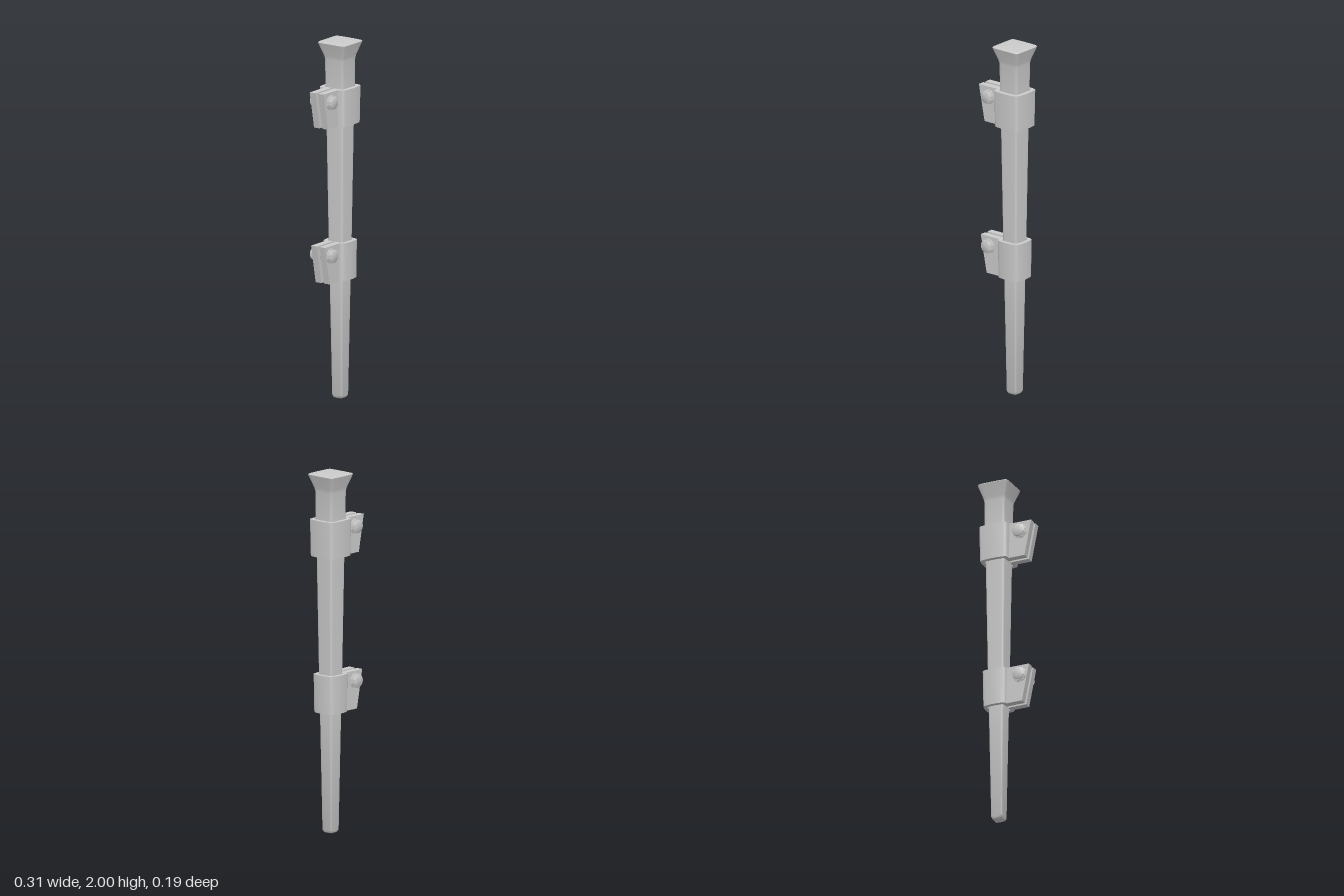
import * as THREE from 'three';
import { toCreasedNormals } from 'three/addons/utils/BufferGeometryUtils.js';

const CX = 0.061;
const material = new THREE.MeshStandardMaterial({ color: 0xcccccc });

// Rounded square outline with gently bulging sides, starting in the middle of the -x side
function outline(half, radius, bulge) {
  const points = [];
  const c = half - bulge - radius;
  for (let k = 0; k < 4; k++) {
    const turn = -Math.PI + k * Math.PI / 2;
    const local = [];
    for (let i = 0; i < 4; i++) { // bulging half side
      const t = i / 4;
      local.push([c + radius + bulge * (1 - t * t), c * t]);
    }
    for (let i = 0; i <= 4; i++) { // corner
      const a = i / 4 * Math.PI / 2;
      local.push([c + radius * Math.cos(a), c + radius * Math.sin(a)]);
    }
    for (let i = 3; i >= 1; i--) { // half of the next side
      const t = i / 4;
      local.push([c * t, c + radius + bulge * (1 - t * t)]);
    }
    for (const [x, y] of local) {
      points.push(new THREE.Vector2(
        x * Math.cos(turn) - y * Math.sin(turn),
        x * Math.sin(turn) + y * Math.cos(turn)));
    }
  }
  return points;
}

function add(parent, name, geometry, crease = 0.6) {
  const mesh = new THREE.Mesh(toCreasedNormals(geometry, crease), material);
  mesh.name = name;
  parent.add(mesh);
  return mesh;
}

// Skin between square sections given as [height, half width, corner radius]
function loftGeometry(sections) {
  const positions = [], index = [];
  let n = 0;
  for (const [y, half, radius] of sections) {
    const ring = outline(half, radius, half * 0.02);
    n = ring.length;
    for (const p of ring) positions.push(p.x, y, -p.y);
  }
  for (let s = 0; s < sections.length - 1; s++) {
    for (let i = 0; i < n; i++) {
      const a = s * n + i, b = s * n + (i + 1) % n;
      index.push(a, b, b + n, a, b + n, a + n);
    }
  }
  const bottom = positions.length / 3, top = bottom + 1, last = (sections.length - 1) * n;
  positions.push(0, sections[0][0], 0, 0, sections[sections.length - 1][0], 0);
  for (let i = 0; i < n; i++) {
    const j = (i + 1) % n;
    index.push(bottom, j, i, top, last + i, last + j);
  }
  const geometry = new THREE.BufferGeometry();
  geometry.setAttribute('position', new THREE.Float32BufferAttribute(positions, 3));
  geometry.setIndex(index);
  return geometry;
}

// Split collar: a thick band open towards -x
function bandGeometry(half, inner, height, taper) {
  const gap = 0.009;
  const outer = outline(half, 0.016, 0.006);
  const hole = outline(inner, 0.009, 0.002);
  outer[0] = new THREE.Vector2(-half, -gap);
  hole[0] = new THREE.Vector2(-inner, -gap);
  const shape = new THREE.Shape([
    ...outer, new THREE.Vector2(-half, gap),
    new THREE.Vector2(-inner, gap), ...hole.reverse()]);
  const geometry = new THREE.ExtrudeGeometry(shape, { depth: height, bevelEnabled: false });
  geometry.rotateX(-Math.PI / 2);
  const p = geometry.attributes.position;
  for (let i = 0; i < p.count; i++) {
    const s = 1 - taper * (1 - p.getY(i) / height);
    p.setX(i, p.getX(i) * s);
    p.setZ(i, p.getZ(i) * s);
  }
  return geometry;
}

// One clamp: collar, two lugs and a through bolt
function clamp({ name, bottom, top, half, inner, lugTop, lugBottom, boltY }) {
  const group = new THREE.Group();
  group.name = name;
  const band = add(group, 'collar', bandGeometry(half, inner, top - bottom, 0.04));
  band.position.set(CX, bottom, 0);

  const root = CX - half + 0.012;
  const lugShape = new THREE.Shape([
    new THREE.Vector2(lugBottom, bottom), new THREE.Vector2(root, bottom),
    new THREE.Vector2(root, top), new THREE.Vector2(lugTop, top)]);
  for (const z of [-0.048, 0.008]) {
    const lug = add(group, z > 0 ? 'frontLug' : 'backLug',
      new THREE.ExtrudeGeometry(lugShape, { depth: 0.038, bevelEnabled: false }));
    lug.position.z = z;
  }

  // Bolt with stepped washers and a slightly domed head at both ends
  const side = [
    [0.027, 0], [0.027, 0.046], [0.042, 0.046], [0.042, 0.051], [0.037, 0.052],
    [0.037, 0.056], [0.031, 0.057], [0.031, 0.063], [0.036, 0.065],
    [0.036, 0.069], [0.033, 0.071], [0, 0.072]];
  const profile = [
    ...side.slice(1).reverse().map(([r, h]) => new THREE.Vector2(r, -h)),
    ...side.slice(1).map(([r, h]) => new THREE.Vector2(r, h))];
  const bolt = add(group, 'bolt', new THREE.LatheGeometry(profile, 28));
  bolt.rotation.x = Math.PI / 2;
  bolt.position.set(-0.087, boltY, -0.001);
  return group;
}

export function createModel() {
  const model = new THREE.Group();
  model.name = 'clampedStake';

  // Tapered square shaft with a flared head
  const shaft = add(model, 'shaft', loftGeometry([
    [0, 0.024, 0.006], [0.004, 0.029, 0.007], [0.016, 0.034, 0.007],
    [0.67, 0.044, 0.008], [0.88, 0.048, 0.008], [1.54, 0.057, 0.009],
    [1.74, 0.061, 0.009], [1.9, 0.063, 0.01], [1.92, 0.067, 0.01],
    [1.985, 0.09, 0.014], [1.994, 0.0925, 0.015], [1.998, 0.089, 0.015],
    [2, 0.07, 0.012]]), 0.5);
  shaft.position.x = CX;

  model.add(clamp({
    name: 'upperClamp', bottom: 1.54, top: 1.745, half: 0.09, inner: 0.065,
    lugTop: -0.155, lugBottom: -0.115, boltY: 1.688 }));
  model.add(clamp({
    name: 'lowerClamp', bottom: 0.67, top: 0.883, half: 0.076, inner: 0.053,
    lugTop: -0.142, lugBottom: -0.1, boltY: 0.828 }));
  return model;
}
